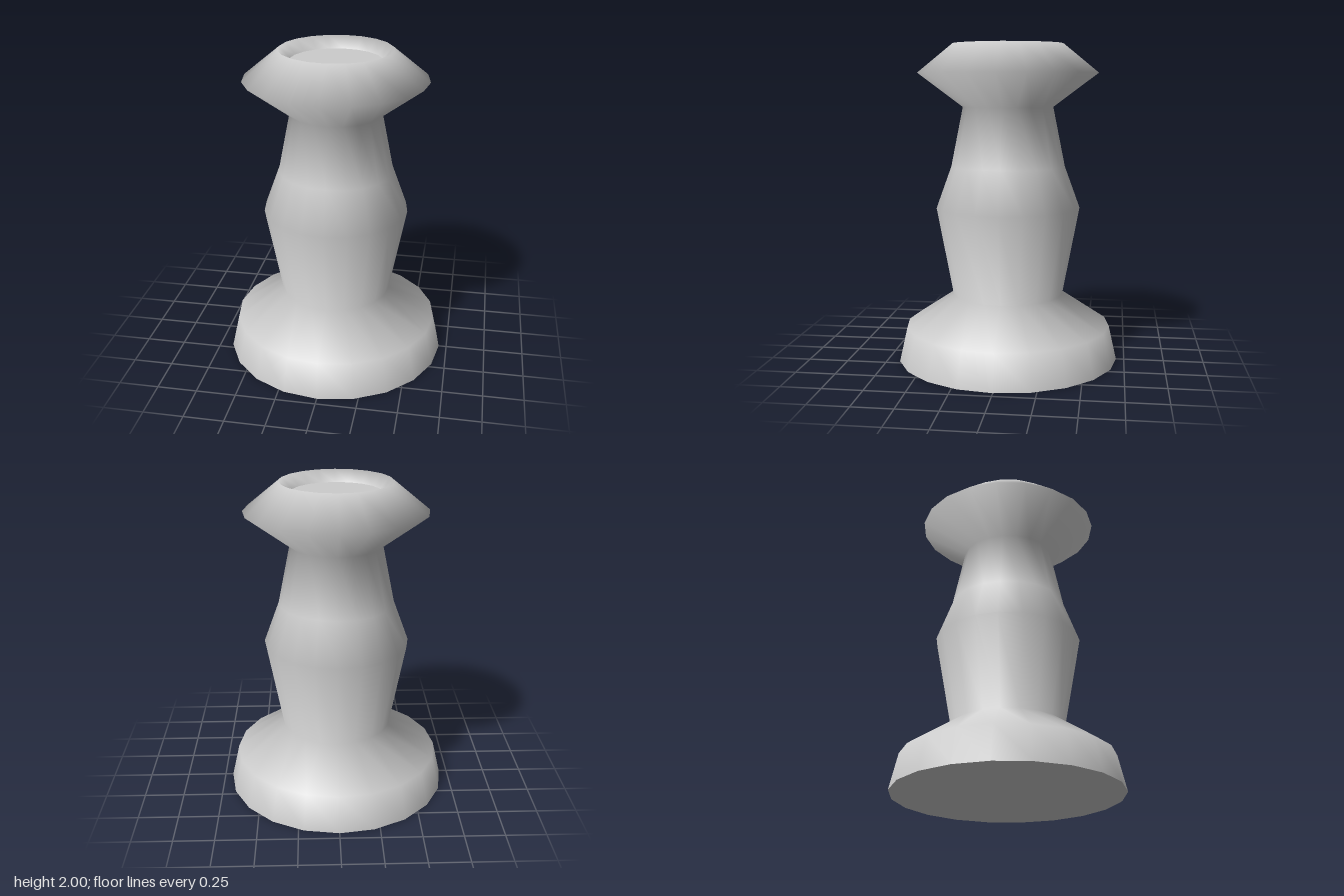
import * as THREE from 'three';

const SIDES = 20;

export function createModel() {
  const group = new THREE.Group();
  group.name = 'turnedPeg';
  const material = new THREE.MeshStandardMaterial({ color: 0xcccccc });

  // Outer wall from the foot up over the rim and down into the recess
  const profile = [
    [0.70, 0], [0.65, 0.22],                    // foot
    [0.35, 0.42], [0.455, 0.98],                // lower waist to belly
    [0.36, 1.24], [0.285, 1.61],                // shoulder to neck
    [0.565, 1.82], [0.345, 2.0], [0.28, 1.93],  // flared head and recess
  ].map(([r, y]) => new THREE.Vector2(r, y));
  const body = new THREE.Mesh(new THREE.LatheGeometry(profile, SIDES), material);
  body.name = 'body';
  group.add(body);

  // Flat caps keep sharp edges against the smooth wall
  const addCap = (name, radius, y, facing) => {
    const geometry = new THREE.CircleGeometry(radius, SIDES);
    geometry.rotateX(-facing * Math.PI / 2);
    const cap = new THREE.Mesh(geometry, material);
    cap.name = name;
    cap.position.y = y;
    group.add(cap);
  };
  addCap('recessFloor', 0.28, 1.93, 1);
  addCap('underside', 0.70, 0, -1);

  return group;
}
